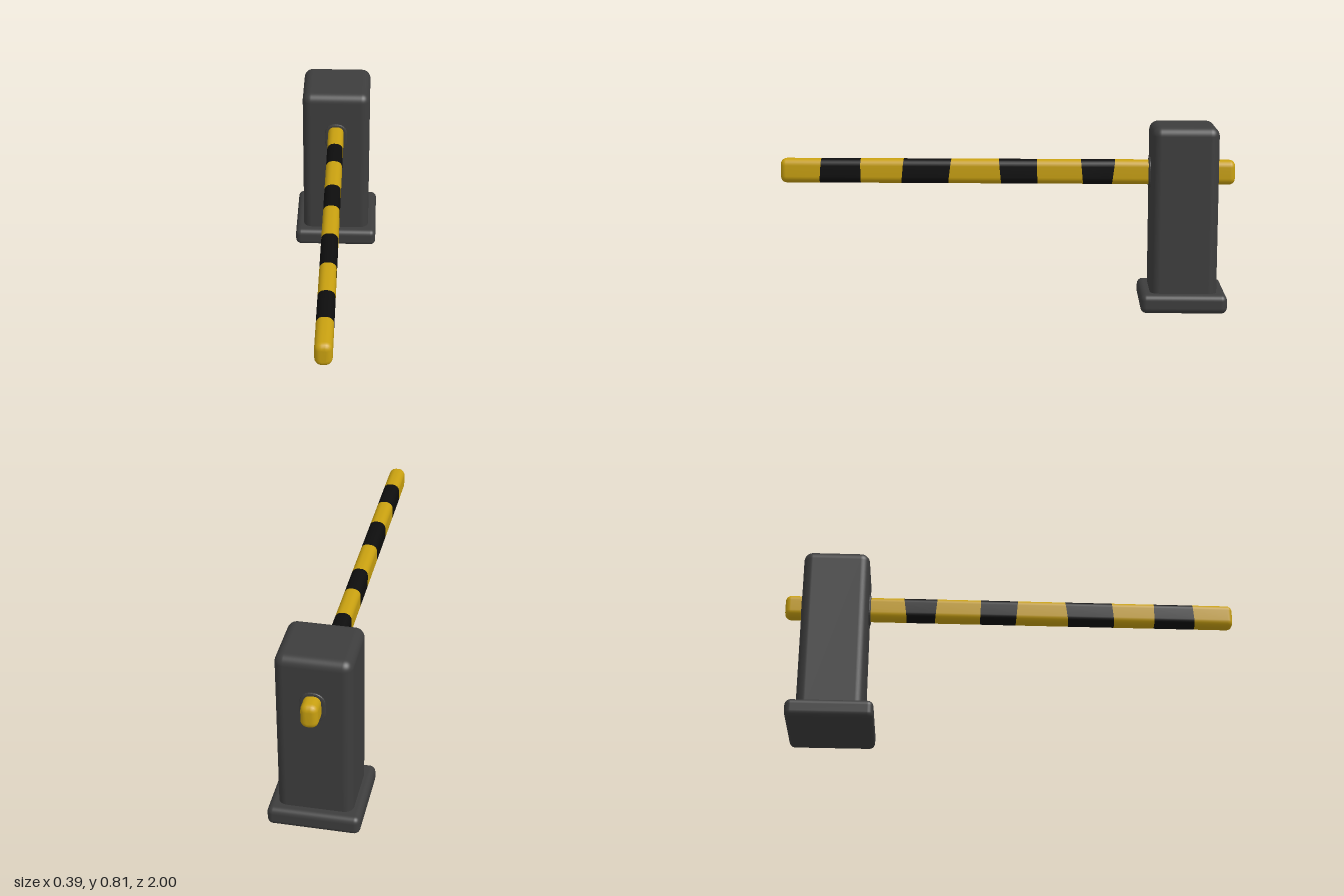
import * as THREE from 'three';
import { RoundedBoxGeometry } from 'three/addons/geometries/RoundedBoxGeometry.js';

const ARM_Y = 0.597, POST_Z = -0.774;

function material(name, color) {
  const m = new THREE.MeshStandardMaterial({ color });
  m.name = name;
  return m;
}

// Counter-clockwise outline of a rounded rectangle
function roundedLoop(hw, hh, r, steps = 6) {
  const points = [];
  [[1, 1], [-1, 1], [-1, -1], [1, -1]].forEach(([sx, sy], q) => {
    for (let k = 0; k <= steps; k++) {
      const a = (q + k / steps) * Math.PI / 2;
      points.push([sx * (hw - r) + r * Math.cos(a), sy * (hh - r) + r * Math.sin(a)]);
    }
  });
  return points;
}

// Lofts rings { z, lean, inset, paint } along z; paint applies to the span after each ring
function loftArm(hw, hh, corner, rings) {
  const positions = [], index = [];
  const geometry = new THREE.BufferGeometry();
  const n = roundedLoop(hw, hh, corner).length;
  for (const { z, lean = 0, inset = 0 } of rings) {
    for (const [x, y] of roundedLoop(hw - inset, hh - inset, corner - inset)) {
      positions.push(x, y, z - lean * y / hh);
    }
  }
  for (let i = 0; i < rings.length - 1; i++) {
    const start = index.length;
    for (let j = 0; j < n; j++) {
      const a = i * n + j, b = i * n + (j + 1) % n;
      index.push(a, b, b + n, a, b + n, a + n);
    }
    geometry.addGroup(start, index.length - start, rings[i].paint);
  }
  // End faces
  const start = index.length, last = (rings.length - 1) * n;
  for (let j = 1; j < n - 1; j++) {
    index.push(0, j + 1, j, last, last + j, last + j + 1);
  }
  geometry.addGroup(start, index.length - start, 0);
  geometry.setAttribute('position', new THREE.Float32BufferAttribute(positions, 3));
  geometry.setIndex(index);
  geometry.computeVertexNormals();
  return geometry;
}

export function createModel() {
  const model = new THREE.Group();
  model.name = 'barrierGate';
  const grey = material('darkGrey', 0x3d3d3d);
  const yellow = material('yellow', 0xc8a010);
  const black = material('black', 0x0d0d0d);

  const add = (name, geometry, mat, y, z) => {
    const mesh = new THREE.Mesh(geometry, mat);
    mesh.name = name;
    mesh.position.set(0, y, z);
    model.add(mesh);
  };

  // Housing and foot
  add('base', new RoundedBoxGeometry(0.386, 0.083, 0.375, 5, 0.026), grey, 0.0415, POST_Z);
  add('post', new RoundedBoxGeometry(0.312, 0.79, 0.29, 6, 0.04), grey, 0.415, POST_Z);

  // Low collars where the arm passes through the post
  const collarShape = new THREE.Shape(roundedLoop(0.045, 0.062, 0.04).map(p => new THREE.Vector2(...p)));
  const collar = new THREE.ExtrudeGeometry(collarShape, {
    depth: 0.296, bevelThickness: 0.005, bevelSize: 0.007, bevelSegments: 2,
  });
  collar.translate(0, 0, -0.148);
  add('armCollar', collar, grey, ARM_Y - 0.003, POST_Z);

  // Striped arm with rounded ends
  const endRadius = 0.025, endSteps = 5, rings = [];
  const endRing = (k, side) => {
    const a = k / endSteps * Math.PI / 2;
    return {
      z: side * (1 - endRadius * (1 - Math.sin(a))),
      inset: endRadius * (1 - Math.cos(a)),
      paint: 0,
    };
  };
  for (let k = endSteps; k >= 0; k--) rings.push(endRing(k, -1));
  const edges = [
    [-0.468, 0.007], [-0.33, -0.005], [-0.133, -0.002], [0.03, -0.005],
    [0.252, 0.007], [0.46, 0.005], [0.645, 0], [0.823, 0.004],
  ];
  edges.forEach(([z, lean], i) => rings.push({ z, lean, paint: (i + 1) % 2 }));
  for (let k = 0; k <= endSteps; k++) rings.push(endRing(k, 1));
  add('barrierArm', loftArm(0.036, 0.054, 0.03, rings), [yellow, black], ARM_Y, 0);

  return model;
}
